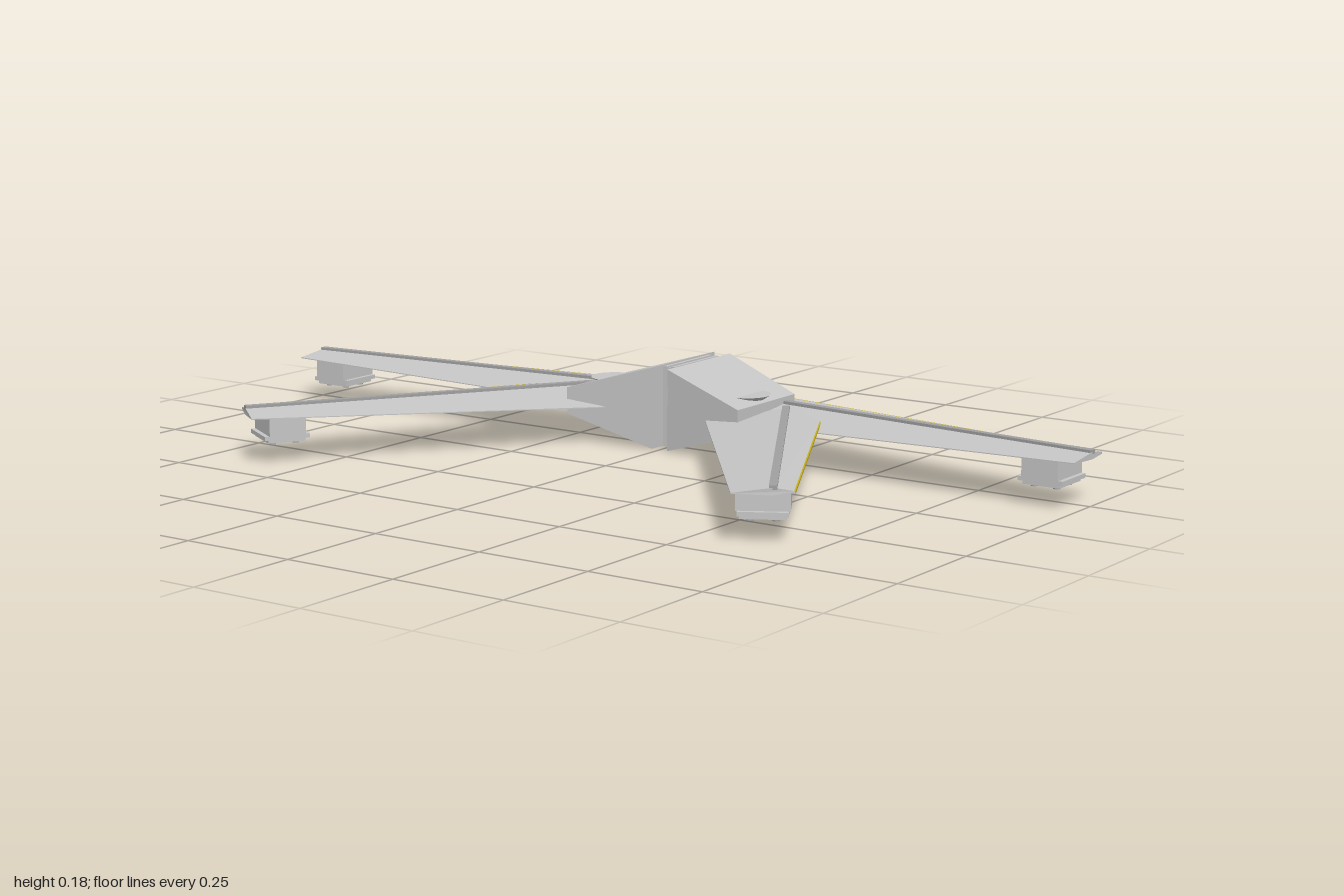
import * as THREE from 'three';

const grey = new THREE.MeshStandardMaterial({ color: 0xc6c6c6 }); grey.name = 'hull grey';
const dark = new THREE.MeshStandardMaterial({ color: 0xa0a0a0 }); dark.name = 'rail grey';
const yellow = new THREE.MeshStandardMaterial({ color: 0xc8b01c }); yellow.name = 'edge yellow';

// Skin equal-length rings of [x, y, z] points, cap both ends, face outwards
function loft(rings) {
  const tris = [], n = rings[0].length, last = rings[rings.length - 1];
  for (let i = 0; i + 1 < rings.length; i++) {
    const a = rings[i], b = rings[i + 1];
    for (let j = 0; j < n; j++) {
      const k = (j + 1) % n;
      tris.push([a[j], a[k], b[k]], [a[j], b[k], b[j]]);
    }
  }
  for (let j = 1; j + 1 < n; j++) {
    tris.push([rings[0][0], rings[0][j + 1], rings[0][j]], [last[0], last[j], last[j + 1]]);
  }
  const o = new THREE.Vector3(...rings[0][0]);
  let volume = 0;
  for (const t of tris) {
    const [p, q, r] = t.map(v => new THREE.Vector3(...v).sub(o));
    volume += p.dot(q.cross(r));
  }
  if (volume < 0) tris.forEach(t => t.reverse());
  const g = new THREE.BufferGeometry();
  g.setAttribute('position', new THREE.Float32BufferAttribute(tris.flat(2), 3));
  g.computeVertexNormals();
  return g;
}

// Mirror a geometry in x, restoring its corner order
function mirrored(source) {
  const g = new THREE.BufferGeometry();
  for (const name of ['position', 'normal']) {
    const a = source.getAttribute(name).clone();
    for (let i = 0; i < a.count; i += 3) {
      const v = [0, 2, 1].map(k => new THREE.Vector3().fromBufferAttribute(source.getAttribute(name), i + k));
      v.forEach((p, k) => a.setXYZ(i + k, -p.x, p.y, p.z));
    }
    g.setAttribute(name, a);
  }
  return g;
}

// Bar of rectangular section between two points in plan
function bar(p, q, width, height) {
  const dx = q[0] - p[0], dz = q[2] - p[2], l = Math.hypot(dx, dz);
  const nx = -dz / l * width / 2, nz = dx / l * width / 2, h = height / 2;
  return loft([p, q].map(([x, y, z]) => [
    [x + nx, y - h, z + nz], [x + nx, y + h, z + nz],
    [x - nx, y + h, z - nz], [x - nx, y - h, z - nz]]));
}

const box = (w, h, d, x, y, z) => new THREE.BoxGeometry(w, h, d).translate(x, y, z);

export function createModel() {
  const model = new THREE.Group();
  model.name = 'wingedCraft';
  const add = (name, geometry, material) => {
    const mesh = new THREE.Mesh(geometry, material);
    mesh.name = name;
    model.add(mesh);
  };
  const pair = (name, geometry, material) => {
    const g = geometry.index ? geometry.toNonIndexed() : geometry;
    add('left' + name, g, material);
    add('right' + name, mirrored(g), material);
  };

  // Tapered hull halves joined by a ribbed core
  const rect = (x, y0, y1, z0, z1) => [[x, y0, z0], [x, y1, z0], [x, y1, z1], [x, y0, z1]];
  pair('Hull', loft([rect(0.02, 0, 0.178, -0.44, -0.198), rect(0.222, 0.06, 0.118, -0.388, -0.165)]), grey);
  add('core', box(0.04, 0.168, 0.16, 0, 0.089, -0.32), grey);
  for (const x of [-0.009, 0.009]) add('coreRib', box(0.008, 0.176, 0.172, x, 0.089, -0.32), grey);

  // Pivot caps above and below the wing roots
  for (const up of [1, -1]) {
    const cap = new THREE.CylinderGeometry(up > 0 ? 0.052 : 0.03, up > 0 ? 0.03 : 0.052, 0.015, 32);
    pair(up > 0 ? 'UpperPivot' : 'LowerPivot', cap.translate(0.173, 0.089 + up * 0.034, -0.275), grey);
  }

  // Wings: each section lists leading edge, spar and trailing edge
  const wings = [
    { name: 'Rear', podAt: [0.92, -0.237], turn: 0,
      root: [[0.19, 0.095, -0.435], [0.19, 0.1, -0.355], [0.19, 0.085, -0.18]],
      tip: [[1, 0.101, -0.293], [1, 0.106, -0.253], [1, 0.1, -0.175]] },
    { name: 'Front', podAt: [0.61, 0.335], turn: -1.038,
      root: [[0.33, 0.094, -0.33], [0.25, 0.099, -0.31], [0.13, 0.082, -0.18]],
      tip: [[0.695, 0.101, 0.36], [0.663, 0.106, 0.386], [0.6, 0.1, 0.435]] },
  ];
  const lift = ([x, y, z], d) => [x, y + d, z];
  for (const { name, podAt, turn, root, tip } of wings) {
    const section = ([le, spar, te]) => [
      lift(le, 0.002), lift(spar, 0.004), lift(te, 0.001),
      lift(te, -0.001), lift(spar, -0.011), lift(le, -0.002)];
    pair(name + 'Wing', loft([section(root), section(tip)]), grey);
    pair(name + 'Spar', bar(lift(root[1], 0.005), lift(tip[1], 0.004), 0.016, 0.009), dark);
    pair(name + 'EdgeStrip', bar(root[0], tip[0], 0.003, 0.0045), yellow);

    // Pod under the tip, with a flange and four feet
    const parts = [
      ['Pod', box(0.08, 0.042, 0.105, 0, 0.078, 0), grey],
      ['PodFlange', box(0.1, 0.009, 0.098, 0, 0.053, 0), grey],
      ['PodBase', box(0.082, 0.007, 0.09, 0, 0.045, 0), grey],
    ];
    for (const x of [-0.025, 0.025]) for (const z of [-0.025, 0.025]) {
      parts.push(['PodFoot', new THREE.CylinderGeometry(0.007, 0.007, 0.006, 12).translate(x, 0.039, z), dark]);
    }
    for (const [part, g, material] of parts) {
      pair(name + part, g.rotateY(turn).translate(podAt[0], 0, podAt[1]), material);
    }
  }
  return model;
}
